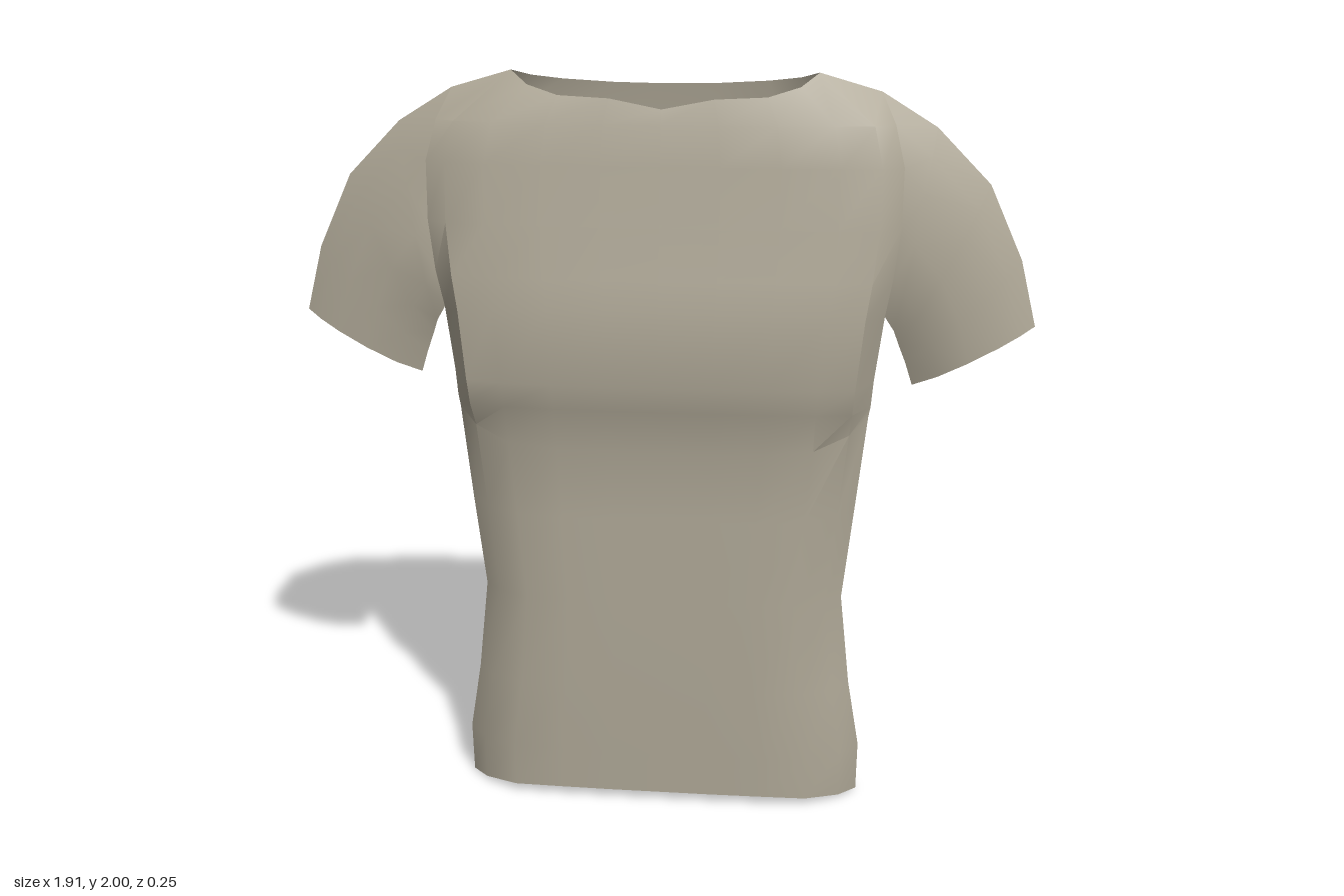
import * as THREE from 'three';
import { toCreasedNormals } from 'three/addons/utils/BufferGeometryUtils.js';

// Skins a grid of points (rows of equal length)
function skin(rows, flip = false) {
  const n = rows[0].length, index = [];
  for (let i = 0; i < rows.length - 1; i++) {
    for (let j = 0; j < n - 1; j++) {
      const a = i * n + j, b = a + 1, c = b + n, d = a + n;
      if (flip) index.push(a, c, b, a, d, c);
      else index.push(a, b, c, a, c, d);
    }
  }
  const g = new THREE.BufferGeometry();
  g.setAttribute('position', new THREE.Float32BufferAttribute(rows.flat(2), 3));
  g.setIndex(index);
  return toCreasedNormals(g, 0.5);
}

// Completes a half row (centre to +x) with its mirror image
const mirrorRow = (half) => [
  ...half.slice(1).reverse().map(([x, y, z]) => [-x, y, z]), ...half];

// Torso rows: centre y, side y, half width, front z, front edge z, back edge z, back z, corner fullness
const ROWS = [
  [0.03, 0, 0.555, 0.095, -0.03, -0.03, -0.105, 0.5],
  [0.15, 0.15, 0.555, 0.095, -0.02, -0.02, -0.11, 0.5],
  [0.35, 0.35, 0.52, 0.095, -0.01, -0.01, -0.105, 0.5],
  [0.61, 0.61, 0.49, 0.09, -0.01, -0.01, -0.097, 0.45],
  [0.85, 0.87, 0.515, 0.085, 0, 0, -0.1, 0.45],
  [1.04, 1.13, 0.54, 0.08, 0, 0, -0.105, 0.5],
  [1.16, 1.16, 0.545, 0.107, 0, 0, -0.108, 0.75],
  [1.23, 1.23, 0.55, 0.125, 0, 0, -0.11, 0.75],
  [1.42, 1.40, 0.57, 0.115, 0, 0, -0.115, 0.7],
  [1.5, 1.5, 0.585, 0.1, 0.02, -0.09, -0.12, 0.65],
  [1.63, 1.63, 0.6, 0.075, 0.015, -0.095, -0.123, 0.6],
  [1.78, 1.78, 0.6, 0.052, 0.005, -0.1, -0.119, 0.6],
  [1.88, 1.88, 0.575, 0.035, -0.02, -0.09, -0.111, 0.6],
];
const ARMPIT = 8;
const COLS = [0, 0.25, 0.5, 0.74, 0.91, 1];

// Neckline and shoulder seam, from the centre outwards
const NECK_FRONT = [[0, 1.915, 0.02], [0.13, 1.94, 0.018], [0.26, 1.945, 0.005],
  [0.34, 1.968, -0.018], [0.385, 2, -0.05], [0.54, 1.955, -0.06]];
const NECK_BACK = [[0, 1.965, -0.1], [0.13, 1.967, -0.1], [0.26, 1.975, -0.092],
  [0.34, 1.985, -0.08], [0.385, 2, -0.05], [0.54, 1.955, -0.06]];

function torsoHalves(front) {
  const halves = ROWS.map(([yc, ys, w, zf, ef, eb, zb, k]) => {
    const edge = front ? ef : eb, mid = front ? zf : zb;
    const full = front ? [1, 1, 0.98, 0.9, k, 0] : [1, 0.98, 0.94, 0.83, 0.6, 0];
    return COLS.map((u, j) => [
      u * w,
      yc + (ys - yc) * u ** (front ? 6 : 3),
      edge + (mid - edge) * full[j],
    ]);
  });
  halves.push(front ? NECK_FRONT : NECK_BACK);
  return halves;
}

// Sleeve rings: lower x, y, z, upper x, y, z, half thickness
const SLEEVE = [
  [0.595, 1.36, -0.015, 0.68, 1.87, -0.06, 0.058],
  [0.61, 1.32, -0.025, 0.82, 1.73, -0.065, 0.054],
  [0.63, 1.27, -0.035, 0.91, 1.54, -0.062, 0.05],
  [0.65, 1.21, -0.04, 0.955, 1.37, -0.056, 0.045],
];
const LEVELS = [0, 0.2, 0.45, 0.7, 0.87, 1];
const BULGE = [0, 0.75, 1, 0.85, 0.5, 0];

function sleeveRings(frontHalf, backHalf) {
  // The first ring is the armhole, so the sleeve joins the torso without a gap
  const armhole = (half) => half.slice(ARMPIT).map((row) => row[row.length - 1]);
  const rings = [[...armhole(frontHalf), ...armhole(backHalf).reverse().slice(1)]];
  for (const [x0, y0, z0, x1, y1, z1, h] of SLEEVE) {
    const side = (s) => LEVELS.map((t, j) => [
      x0 + (x1 - x0) * t, y0 + (y1 - y0) * t, z0 + (z1 - z0) * t + s * h * BULGE[j]]);
    rings.push([...side(1), ...side(-1).reverse().slice(1)]);
  }
  return rings;
}

export function createModel() {
  const group = new THREE.Group();
  group.name = 'shirt';
  const cloth = new THREE.MeshStandardMaterial({ color: 0xaea796, side: THREE.DoubleSide });
  cloth.name = 'stone grey cloth';

  const add = (name, geometry) => {
    const mesh = new THREE.Mesh(geometry, cloth);
    mesh.name = name;
    group.add(mesh);
  };

  // Front and back panels
  const front = torsoHalves(true), back = torsoHalves(false);
  add('frontPanel', skin(front.map(mirrorRow)));
  add('backPanel', skin(back.map(mirrorRow), true));

  // Short sleeves
  const rings = sleeveRings(front, back);
  add('leftSleeve', skin(rings, true));
  add('rightSleeve', skin(rings.map((r) => r.map(([x, y, z]) => [-x, y, z]))));

  return group;
}
